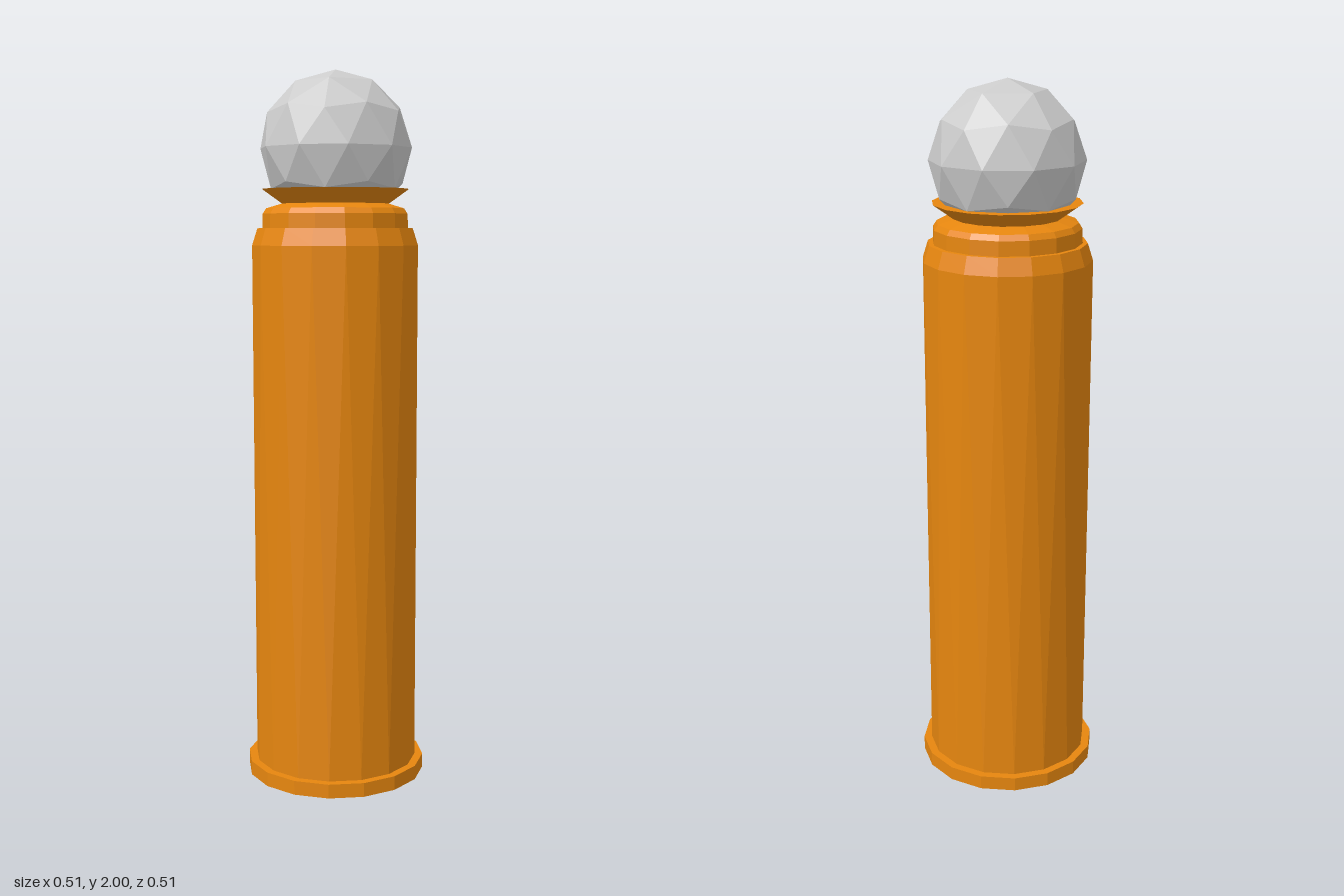
import * as THREE from 'three';

const SIDES = 16;
const HALF_STEP = Math.PI / SIDES;

export function createModel() {
  const model = new THREE.Group();
  const brass = new THREE.MeshStandardMaterial({ color: 0xe6860f, flatShading: true });
  const grey = new THREE.MeshStandardMaterial({ color: 0xcccccc, flatShading: true });

  const add = (name, geometry, material) => {
    const mesh = new THREE.Mesh(geometry, material);
    mesh.name = name;
    model.add(mesh);
    return mesh;
  };
  // Revolve [radius, height] pairs, listed from bottom to top
  const turned = (profile, start = 0) =>
    new THREE.LatheGeometry(profile.map(([r, y]) => new THREE.Vector2(r, y)), SIDES, start);

  // Flat base rim
  add('baseRim', turned([[0, 0], [0.255, 0], [0.255, 0.04], [0, 0.04]]), brass);

  // Casing wall: its top ring is turned half a facet against the bottom ring
  const bottom = 0.04, top = 1.52;
  const wall = new THREE.CylinderGeometry(0.234, 0.232, top - bottom, SIDES, 1, true);
  const pos = wall.attributes.position;
  const v = new THREE.Vector3(), up = new THREE.Vector3(0, 1, 0);
  for (let i = 0; i < pos.count; i++) {
    v.fromBufferAttribute(pos, i);
    if (v.y > 0) v.applyAxisAngle(up, -HALF_STEP);
    pos.setXYZ(i, v.x, v.y + (top + bottom) / 2, v.z);
  }
  wall.computeVertexNormals();
  add('casing', wall, brass);

  // Sloped shoulder, stepped neck, groove and flared mouth
  add('neck', turned([
    [0.234, 1.52], [0.219, 1.567], [0.205, 1.567], [0.204, 1.607], [0.194, 1.622],
    [0.15, 1.635], [0.206, 1.675], [0, 1.675],
  ], HALF_STEP), brass);

  // Faceted ball, turned so that one vertex points straight up
  const ball = new THREE.IcosahedronGeometry(0.213, 1);
  ball.rotateZ(-Math.atan(2 / (1 + Math.sqrt(5))));
  add('ball', ball, grey).position.y = 1.787;

  return model;
}
